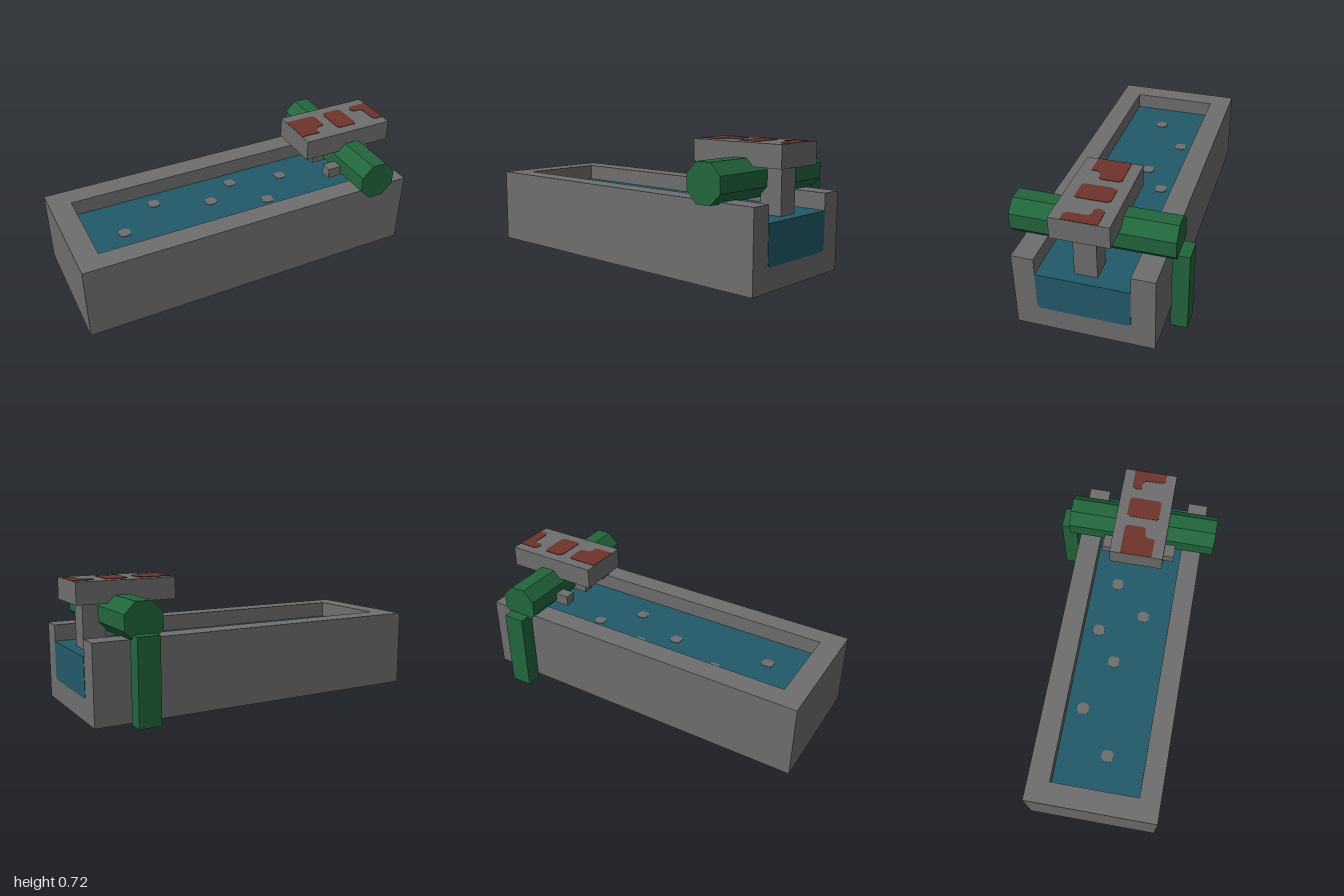
import * as THREE from 'three';

const paint = (name, color) => {
  const m = new THREE.MeshStandardMaterial({ color });
  m.name = name;
  return m;
};

export function createModel() {
  const model = new THREE.Group();
  const stone = paint('stone grey', 0x6e6e6e);
  const green = paint('pipe green', 0x22663c);
  const blue = paint('water blue', 0x225a69);
  const red = paint('rust red', 0x6e342c);

  const add = (name, geometry, material) => {
    const mesh = new THREE.Mesh(geometry, material);
    mesh.name = name;
    model.add(mesh);
    return mesh;
  };

  // Box given by its lowest and highest corners
  const box = (name, [x0, y0, z0], [x1, y1, z1], material) =>
    add(name, new THREE.BoxGeometry(x1 - x0, y1 - y0, z1 - z0)
      .translate((x0 + x1) / 2, (y0 + y1) / 2, (z0 + z1) / 2), material);

  // Plate cut from a plan outline of [x, z] points, hanging down from its top
  const plate = (name, outline, top, depth, material) => {
    const shape = new THREE.Shape(outline.map(([x, z]) => new THREE.Vector2(x, z)));
    const g = new THREE.ExtrudeGeometry(shape, { depth, bevelEnabled: false });
    return add(name, g.rotateX(Math.PI / 2).translate(0, top, 0), material);
  };

  // Trough: solid base with a rim that is open at the right end
  box('troughBase', [-1, 0, -0.35], [1, 0.343, 0.4], stone);
  plate('troughRim', [
    [-1, -0.35], [1, -0.35], [1, -0.223], [-0.875, -0.223],
    [-0.875, 0.28], [1, 0.28], [1, 0.4], [-1, 0.4],
  ], 0.438, 0.095, stone);

  // Water surface and the fall painted on the open end
  box('water', [-0.875, 0.341, -0.223], [1, 0.345, 0.28], blue);
  const fall = new THREE.Shape([
    [-0.28, 0.345], [-0.28, 0.14], [-0.262, 0.125], [0.21, 0.125], [0.222, 0.137], [0.222, 0.345],
  ].map(([x, y]) => new THREE.Vector2(x, y)));
  add('waterFall', new THREE.ExtrudeGeometry(fall, { depth: 0.003, bevelEnabled: false })
    .rotateY(Math.PI / 2).translate(0.999, 0, 0), blue);

  // Pale spots on the water
  const c = 0.033, k = 0.018;
  const spot = [[-c, -k], [-k, -c], [k, -c], [c, -k], [c, k], [k, c], [-k, c], [-c, k]];
  for (const [x, z] of [[-0.66, 0.06], [-0.41, -0.13], [-0.095, -0.005], [0.09, -0.13],
    [0.22, 0.12], [0.41, -0.07], [0.75, 0.04]]) {
    plate('waterSpot', spot.map(([a, b]) => [x + a, z + b]), 0.348, 0.004, stone);
  }

  // Eight-sided pipe across the trough, its flats level, and the square downpipe
  const pipe = new THREE.CylinderGeometry(0.1145, 0.1145, 0.877, 8)
    .rotateY(Math.PI / 8).rotateX(Math.PI / 2).translate(0.745, 0.533, 0.0285).toNonIndexed();
  pipe.computeVertexNormals();
  add('crossPipe', pipe, green);
  box('downPipe', [0.685, 0, -0.472], [0.81, 0.47, -0.38], green);

  // Three spouts on the pipe
  for (const z of [-0.16, 0.025, 0.21]) {
    box('spout', [0.56, 0.47, z - 0.033], [0.68, 0.53, z + 0.033], stone);
  }

  // Post carrying the slab
  box('post', [0.81, 0.343, -0.033], [0.938, 0.6, 0.09], stone);
  box('slab', [0.438, 0.597, -0.127], [1, 0.718, 0.184], stone);

  // Red marks on the slab
  const marks = [
    [[0.439, -0.065], [0.61, -0.065], [0.625, -0.05], [0.625, 0.045], [0.61, 0.06],
      [0.575, 0.06], [0.558, 0.08], [0.555, 0.12], [0.439, 0.12]],
    [[0.7, -0.067], [0.795, -0.067], [0.81, -0.05], [0.81, 0.11], [0.8, 0.122],
      [0.695, 0.122], [0.684, 0.11], [0.684, -0.045]],
    [[0.89, -0.067], [0.999, -0.067], [0.999, 0.122], [0.95, 0.122], [0.935, 0.1],
      [0.935, 0.005], [0.92, -0.01], [0.88, -0.01], [0.87, -0.025], [0.875, -0.05]],
  ];
  marks.forEach((outline) => plate('slabMark', outline, 0.721, 0.005, red));

  return model;
}
